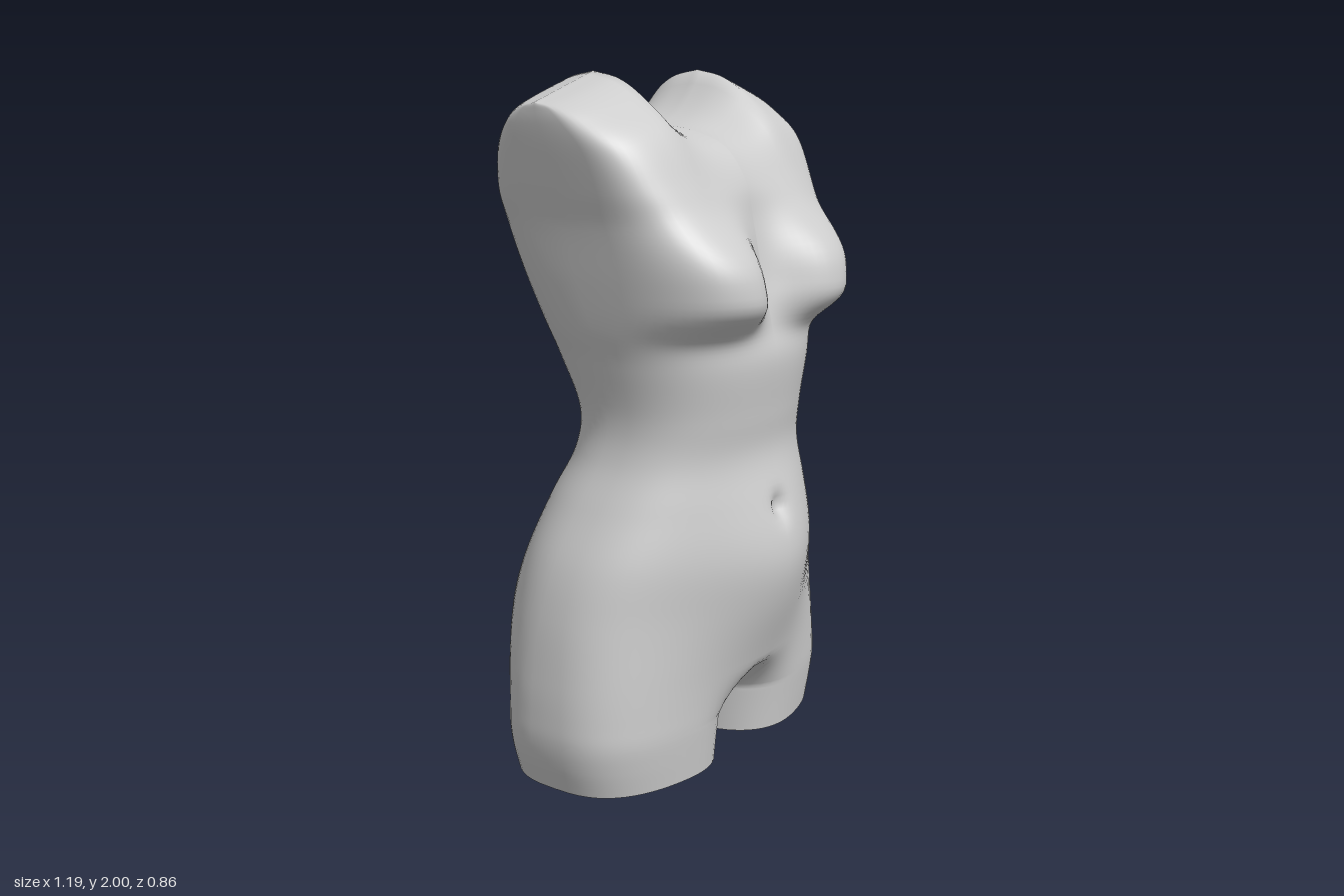
import * as THREE from 'three';

// Body stations: height, half width, front z, back z, squareness of the section
const STATIONS = [
  [0, 0.56, 0.268, -0.315, 2.8], [0.08, 0.583, 0.275, -0.322, 2.8], [0.15, 0.594, 0.28, -0.325, 2.8],
  [0.22, 0.593, 0.283, -0.33, 2.7], [0.33, 0.583, 0.285, -0.34, 2.6], [0.5, 0.557, 0.29, -0.34, 2.4],
  [0.65, 0.515, 0.305, -0.325, 2.3], [0.8, 0.44, 0.31, -0.285, 2.3], [0.93, 0.375, 0.31, -0.225, 2.4],
  [1.05, 0.355, 0.335, -0.22, 2.4], [1.2, 0.377, 0.355, -0.28, 2.5], [1.3, 0.4, 0.33, -0.31, 2.7],
  [1.43, 0.42, 0.29, -0.345, 3.1], [1.58, 0.44, 0.265, -0.365, 4], [1.7, 0.462, 0.245, -0.36, 5],
  [1.84, 0.485, 0.175, -0.32, 5.5], [1.93, 0.497, 0.075, -0.26, 5.5], [1.98, 0.5, -0.01, -0.19, 5.5], [2, 0.5, -0.1, -0.1, 5.5],
];
const CROTCH = 0.15, GAP = 0.035, LEG_X = 0.3, CHEST = 1.6;
const COLS = 28, STEPS = 7; // columns per quarter section, rows per station

const spline = (a, b) => new THREE.CatmullRomCurve3(
  STATIONS.map(s => new THREE.Vector3(s[a], s[0], s[b])), false, 'catmullrom', 0.5);
const bump = (d, size, power = 2) => Math.exp(-((Math.abs(d) / size) ** power));

// Lower the rows above the chest into a rounded neckline and sloping shoulders
function shoulderHeight(x, y) {
  if (y <= CHEST) return y;
  const a = Math.min(1, x / 0.25);
  const top = x < 0.25 ? 1.845 + 0.155 * a ** 2.5 : 2 - 0.08 * (x - 0.25) / 0.25;
  const g = Math.min(1, (y - CHEST) / (2 - CHEST));
  return CHEST + (top - CHEST) * (1 - (1 - g) ** (1.6 - 0.6 * a));
}

// One point of the left half; j runs from front centre round the side to back centre
function surfacePoint(y, w, zf, zb, n, j) {
  const front = j <= COLS;
  const q = front ? j / COLS : 2 - j / COLS;
  const x0 = y < CROTCH - 1e-4 ? GAP : 0;
  const x = x0 + (w - x0) * (1 - Math.cos(Math.PI * q)) / 2;
  const mid = (zf + zb) / 2;
  const depth = Math.max(0, 1 - (x / w) ** n) ** (1 / n);
  const edge = Math.sqrt(depth);

  // Divide the section into two legs under a rounded crotch
  const rise = THREE.MathUtils.clamp((y - CROTCH) / (front ? 0.15 : 0.21), 0, 1);
  const joined = Math.sin(rise * Math.PI / 2);
  const fromLeg = Math.min(1, Math.max(0, (LEG_X - x) / (LEG_X - GAP)));
  const split = joined + (1 - joined) * (1 - fromLeg ** 2.8) ** (1 / 2.8);

  let z = mid + ((front ? zf : zb) - mid) * depth * split;
  if (front) {
    // Belly, breast and navel
    z += 0.11 * edge * split * bump(x, 0.28) * bump(y - 0.58, 0.28);
    z += 0.16 * depth ** 0.3 * bump(x - 0.28, 0.205, 3)
      * (y > 1.42 ? bump(y - 1.42, 0.18, 2.5) : bump(y - 1.42, 0.115, 3));
    z -= 0.03 * bump(x, 0.035) * bump(y - 0.77, 0.035);
  } else {
    // Buttock
    z -= 0.095 * edge * split * bump(x - 0.2, 0.2) * bump(y - 0.43, y > 0.43 ? 0.21 : 0.14);
  }
  return [x, shoulderHeight(x, y), z];
}

function buildHalf() {
  const widthFront = spline(1, 2), squareBack = spline(4, 3);
  const rows = (STATIONS.length - 1) * STEPS, per = 2 * COLS + 1;
  const pos = [], index = [], sole = [];
  for (let i = 0; i <= rows; i++) {
    const a = widthFront.getPoint(i / rows), b = squareBack.getPoint(i / rows);
    for (let j = 0; j < per; j++) {
      const p = surfacePoint(a.y, a.x, a.z, b.z, b.x, j);
      pos.push(...p);
      if (i === 0 && j < per - 1) sole.push(new THREE.Vector2(p[0], p[2]));
      if (i < rows && j < per - 1) {
        const v = i * per + j;
        index.push(v, v + 1, v + per + 1, v, v + per + 1, v + per);
      }
    }
  }
  const skin = new THREE.BufferGeometry();
  skin.setAttribute('position', new THREE.Float32BufferAttribute(pos, 3));
  skin.setIndex(index);
  skin.computeVertexNormals();

  // Make shading continuous over the centre line and the inner thigh
  const N = skin.attributes.normal, P = skin.attributes.position, v = new THREE.Vector3();
  for (let i = 0; i <= rows; i++) {
    for (const c of [i * per, i * per + per - 1]) {
      if (P.getX(c) > 0.01) v.set(-1, 0, 0);
      else {
        v.fromBufferAttribute(N, c).setX(0);
        if (v.lengthSq() < 1e-6) v.set(0, -1, 0);
        v.normalize();
      }
      N.setXYZ(c, v.x, v.y, v.z);
    }
  }
  // Join the shading of front and back along the shoulder ridge
  for (let j = 0; j <= COLS; j++) {
    const f = rows * per + j, b = rows * per + 2 * COLS - j;
    v.set(N.getX(f) + N.getX(b), N.getY(f) + N.getY(b), N.getZ(f) + N.getZ(b)).normalize();
    N.setXYZ(f, v.x, v.y, v.z);
    N.setXYZ(b, v.x, v.y, v.z);
  }
  // Flat cut under the thigh
  const cap = new THREE.ShapeGeometry(new THREE.Shape(sole)).rotateX(Math.PI / 2);
  return { skin, cap };
}

export function createModel() {
  const group = new THREE.Group();
  group.name = 'torso';
  const material = new THREE.MeshStandardMaterial({ color: 0xcccccc, side: THREE.DoubleSide });
  const { skin, cap } = buildHalf();
  for (const [side, s] of [['left', 1], ['right', -1]]) {
    const half = new THREE.Group();
    half.name = side + 'Half';
    half.scale.x = s;
    const body = new THREE.Mesh(skin, material);
    body.name = side + 'Body';
    const thighCut = new THREE.Mesh(cap, material);
    thighCut.name = side + 'ThighCut';
    half.add(body, thighCut);
    group.add(half);
  }
  return group;
}
